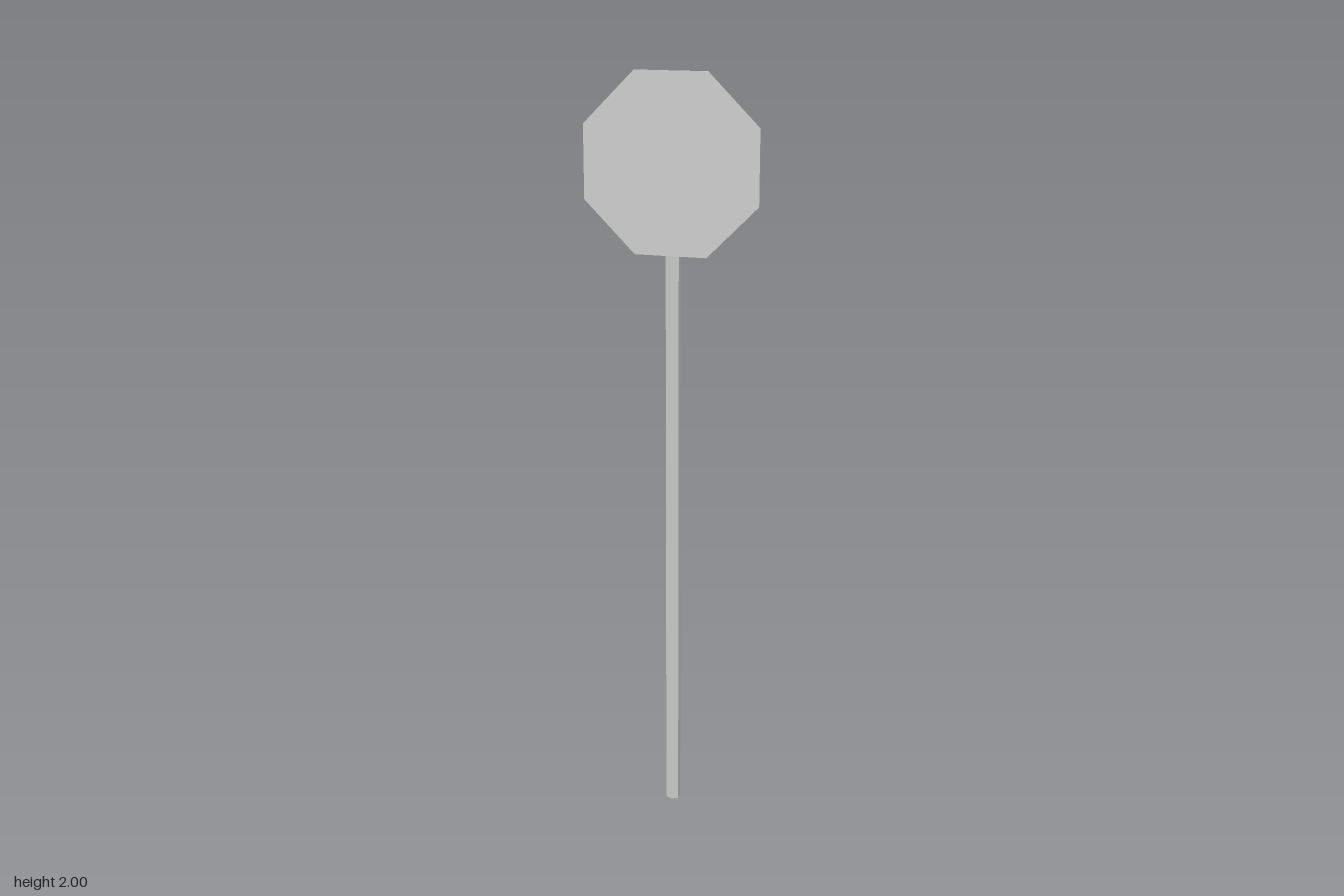
import * as THREE from 'three';

export function createModel() {
  const group = new THREE.Group();
  const material = new THREE.MeshStandardMaterial({ color: 0xcccccc, flatShading: true });

  // Six-sided post, set just behind the plate
  const postRadius = 0.02, postHeight = 1.86, postZ = -0.0032;
  const post = new THREE.Mesh(
    new THREE.CylinderGeometry(postRadius, postRadius, postHeight, 6), material);
  post.name = 'post';
  post.position.set(0, postHeight / 2, postZ);
  group.add(post);

  // Thin octagonal plate with flat sides at top, bottom, left and right
  const apothem = 0.2275, thickness = 0.0062;
  const radius = apothem / Math.cos(Math.PI / 8);
  const plateGeometry = new THREE.CylinderGeometry(radius, radius, thickness, 8)
    .rotateY(Math.PI / 8)
    .rotateX(Math.PI / 2);
  const plate = new THREE.Mesh(plateGeometry, material);
  plate.name = 'signPlate';
  plate.position.set(0, 2 - apothem, postZ + postRadius + thickness / 2);
  group.add(plate);

  return group;
}
